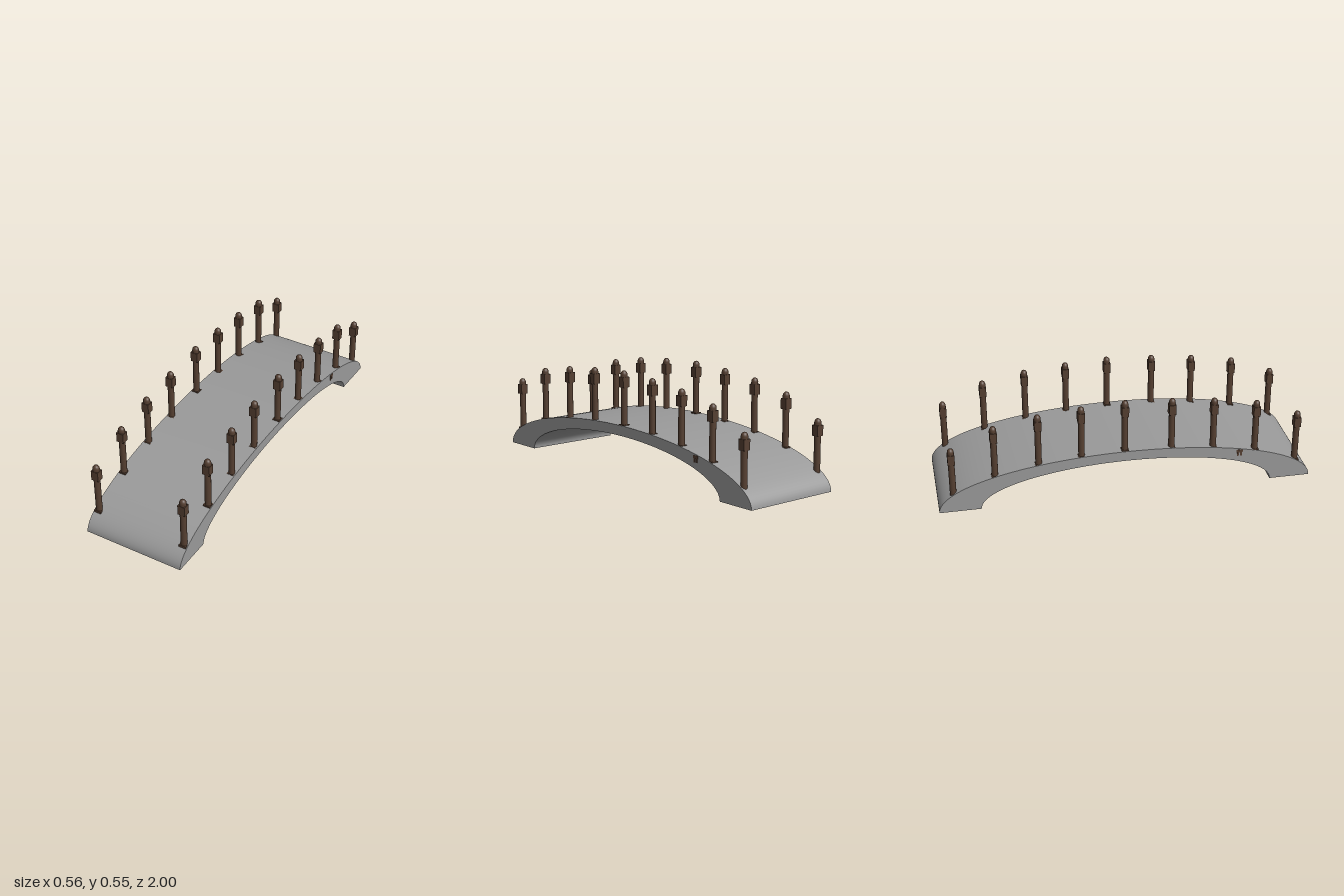
import * as THREE from 'three';
import { toCreasedNormals } from 'three/addons/utils/BufferGeometryUtils.js';

const HALF_WIDTH = 0.278, OUTER = [1, 0.257], INNER = [0.78, 0.202];

const stone = new THREE.MeshStandardMaterial({ color: 0x9a9a9a });
stone.name = 'greyStone';
const wood = new THREE.MeshStandardMaterial({ color: 0x553f31 });
wood.name = 'darkWood';

function addMesh(parent, name, geometry, material, x = 0, y = 0, z = 0) {
  const mesh = new THREE.Mesh(geometry, material);
  mesh.name = name;
  mesh.position.set(x, y, z);
  parent.add(mesh);
  return mesh;
}

// Arched deck: the band between two half ellipses, extruded across x
function archGeometry() {
  const steps = 64;
  const arc = ([a, b]) => Array.from({ length: steps + 1 }, (_, i) => {
    const t = (Math.PI * i) / steps;
    return new THREE.Vector2(a * Math.cos(t), b * Math.sin(t));
  });
  const shape = new THREE.Shape([...arc(OUTER), ...arc(INNER).reverse()]);
  const geometry = new THREE.ExtrudeGeometry(shape, { depth: HALF_WIDTH * 2, bevelEnabled: false });
  geometry.translate(0, 0, -HALF_WIDTH).rotateY(Math.PI / 2);
  return toCreasedNormals(geometry, 0.6);
}

// Shared post parts, measured from the foot of the post
const footGeometry = new THREE.BoxGeometry(0.041, 0.015, 0.037);
const shaftGeometry = new THREE.CylinderGeometry(0.017, 0.017, 0.2, 20);
const blockGeometry = new THREE.BoxGeometry(0.041, 0.055, 0.037);
const domeGeometry = new THREE.SphereGeometry(0.019, 20, 10, 0, Math.PI * 2, 0, Math.PI / 2);
domeGeometry.scale(1, 1.2, 0.93);
const neckGeometry = new THREE.CylinderGeometry(0.019, 0.019, 0.011, 20, 1, true);
neckGeometry.scale(1, 1, 0.93);

function createPost() {
  const post = new THREE.Group();
  post.name = 'post';
  addMesh(post, 'postFoot', footGeometry, wood, 0, 0.0075, 0);
  addMesh(post, 'postShaft', shaftGeometry, wood, 0, 0.115, 0);
  addMesh(post, 'postBlock', blockGeometry, wood, 0, 0.2405, 0);
  addMesh(post, 'postNeck', neckGeometry, wood, 0, 0.2735, 0);
  addMesh(post, 'postDome', domeGeometry, wood, 0, 0.279, 0);
  return post;
}

export function createModel() {
  const bridge = new THREE.Group();
  bridge.name = 'archedBridge';
  addMesh(bridge, 'archedDeck', archGeometry(), stone);

  // Posts along both edges: [z, foot height]
  const places = [
    [0.92, 0.086], [0.692, 0.174], [0.461, 0.212], [0.235, 0.234], [-0.015, 0.247],
    [-0.245, 0.235], [-0.471, 0.212], [-0.7, 0.169], [-0.921, 0.064],
  ];
  for (const side of [1, -1]) {
    for (const [z, y] of places) {
      const post = createPost();
      post.position.set(side * 0.254, y, z);
      bridge.add(post);
    }

    // Small wooden bracket set into each side face, at opposite ends
    const bracket = new THREE.Group();
    bracket.name = 'sideBracket';
    addMesh(bracket, 'bracketBar', new THREE.BoxGeometry(0.004, 0.016, 0.034), wood, 0, 0.008, 0);
    for (const end of [1, -1]) {
      addMesh(bracket, 'bracketLeg', new THREE.BoxGeometry(0.004, 0.02, 0.01), wood, 0, -0.01, end * 0.008);
    }
    bracket.position.set(side * HALF_WIDTH, 0.183, -side * 0.604);
    bridge.add(bracket);
  }
  return bridge;
}
